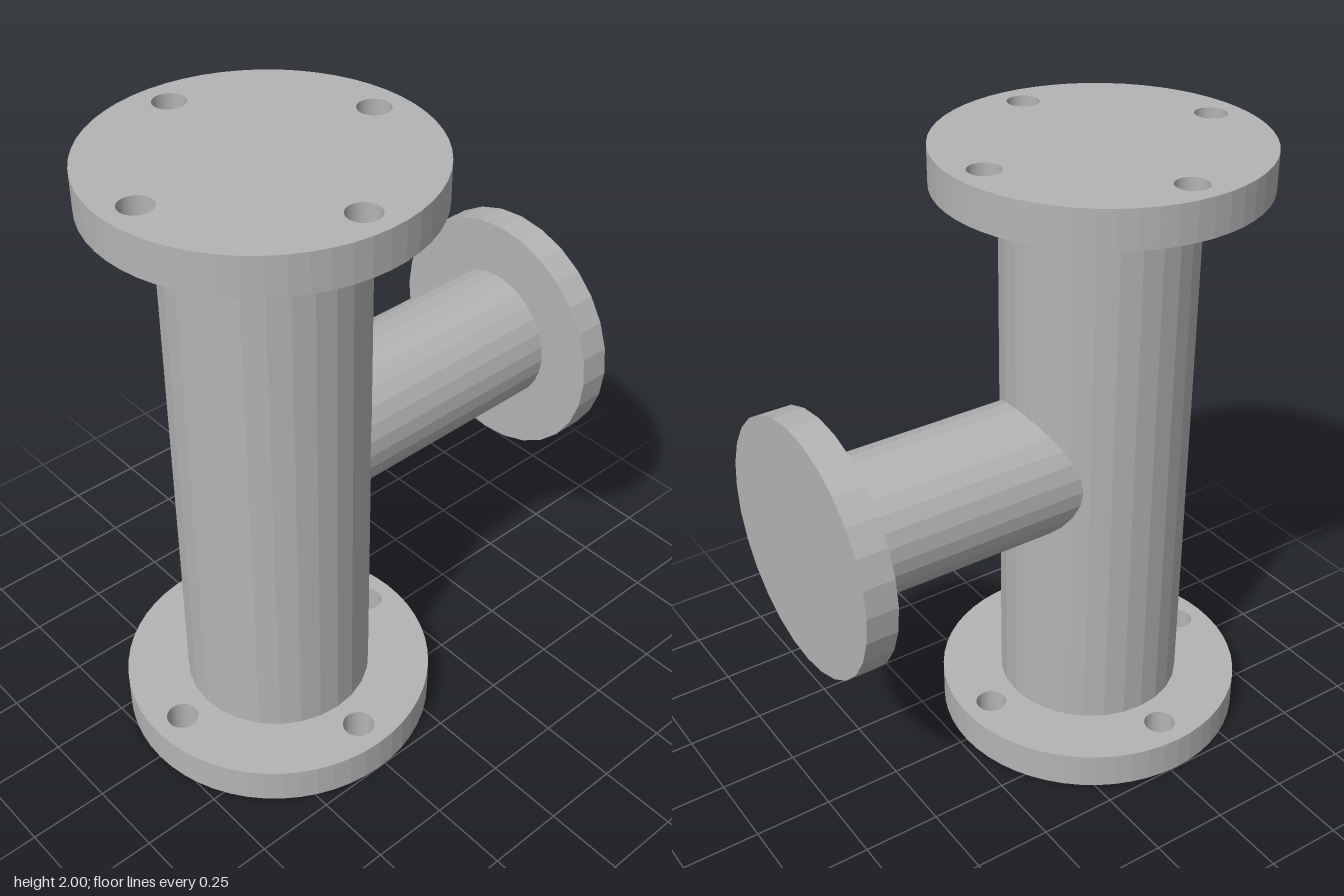
import * as THREE from 'three';

const AXIS = -0.275; // x of the main pipe's axis
const SIDES = 28;

const steel = new THREE.MeshStandardMaterial({ color: 0xb4b4b4, flatShading: true });
steel.name = 'steel grey';

function part(name, geometry, x, y) {
  const mesh = new THREE.Mesh(geometry, steel);
  mesh.name = name;
  mesh.position.set(x, y, 0);
  return mesh;
}

// Round plate lying flat on y = 0, with four bolt holes
function boltedFlange(radius, thickness, holeCircle, holeRadius) {
  const shape = new THREE.Shape().absarc(0, 0, radius, 0, Math.PI * 2);
  for (let i = 0; i < 4; i++) {
    const a = i * Math.PI / 2;
    shape.holes.push(new THREE.Path().absarc(
      holeCircle * Math.cos(a), holeCircle * Math.sin(a), holeRadius, 0, Math.PI * 2, true));
  }
  return new THREE.ExtrudeGeometry(shape, {
    depth: thickness, bevelEnabled: false, curveSegments: SIDES
  }).rotateX(-Math.PI / 2);
}

// Side pipe whose inner end is cut to follow the main pipe's wall
function branchGeometry(radius, endX, wallRadius) {
  const geo = new THREE.CylinderGeometry(radius, radius, 1, SIDES, 1, true);
  geo.rotateZ(-Math.PI / 2);
  const p = geo.attributes.position;
  for (let i = 0; i < p.count; i++) {
    const z = p.getZ(i);
    p.setX(i, p.getX(i) > 0 ? endX : AXIS + Math.sqrt(wallRadius ** 2 - z * z));
  }
  geo.computeVertexNormals();
  return geo;
}

export function createModel() {
  const model = new THREE.Group();
  model.name = 'pipeTee';

  // Main vertical run
  model.add(part('mainPipe', new THREE.CylinderGeometry(0.3, 0.3, 1.76, SIDES, 1, true), AXIS, 1));
  const flange = boltedFlange(0.5, 0.12, 0.4, 0.05);
  model.add(part('bottomFlange', flange, AXIS, 0));
  model.add(part('topFlange', flange, AXIS, 1.88));

  // Side branch with its plain end plate
  model.add(part('branchPipe', branchGeometry(0.22, 0.675, 0.292), 0, 1));
  const plate = new THREE.CylinderGeometry(0.4, 0.4, 0.1, SIDES).rotateZ(-Math.PI / 2);
  model.add(part('branchFlange', plate, 0.725, 1));

  return model;
}
